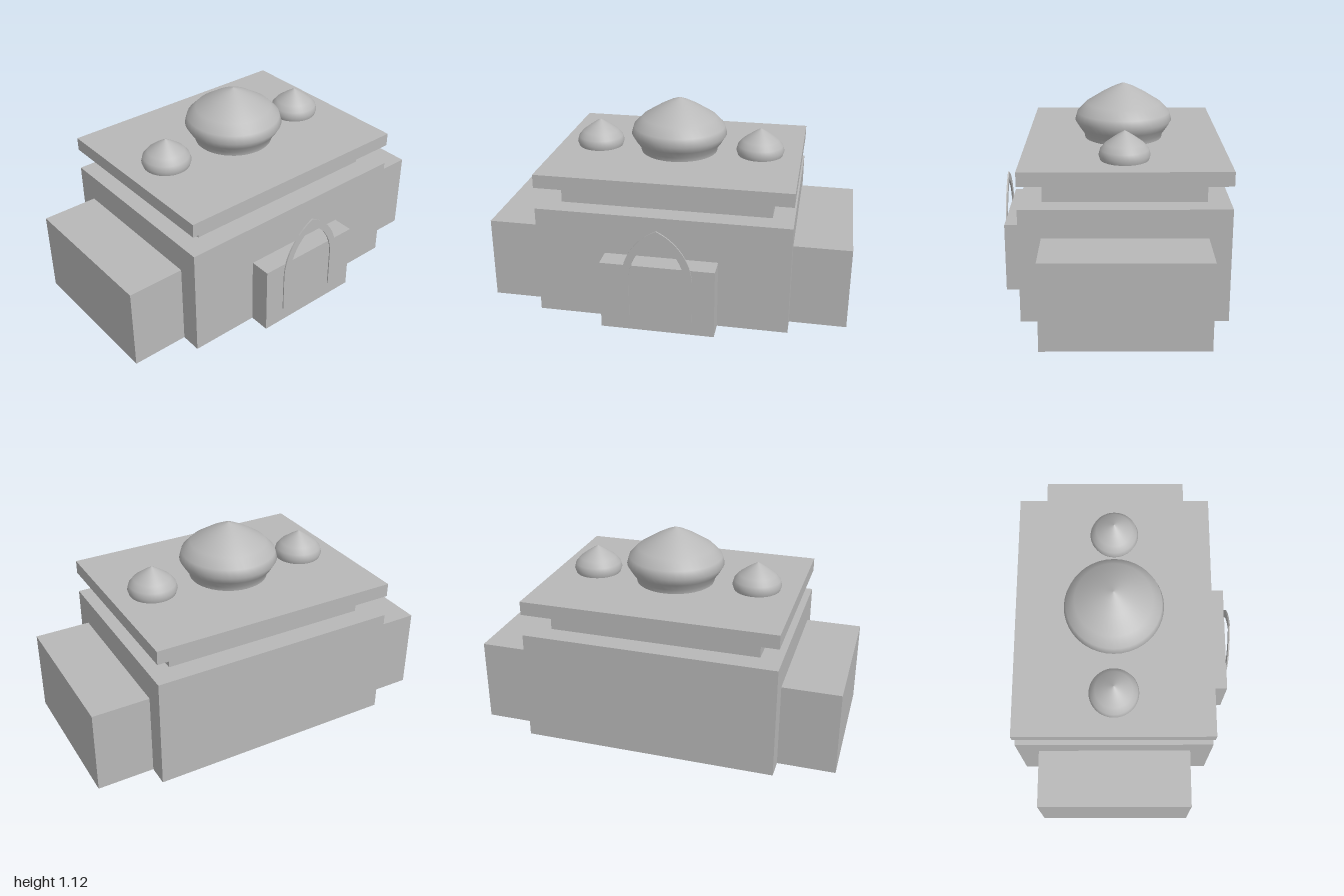
import * as THREE from 'three';

const stone = new THREE.MeshStandardMaterial({ color: 0xb8b8b8 });
stone.name = 'grey stone';

// Box given by its minimum and maximum corners
function block(name, [x0, y0, z0], [x1, y1, z1]) {
  const mesh = new THREE.Mesh(new THREE.BoxGeometry(x1 - x0, y1 - y0, z1 - z0), stone);
  mesh.position.set((x0 + x1) / 2, (y0 + y1) / 2, (z0 + z1) / 2);
  mesh.name = name;
  return mesh;
}

// Dome turned from a profile of [radius, height] pairs, bottom to top
function dome(name, profile, x) {
  const points = profile.map(([r, y]) => new THREE.Vector2(r, y));
  const mesh = new THREE.Mesh(new THREE.LatheGeometry(points, 40), stone);
  mesh.position.set(x, 0.81, -0.06);
  mesh.name = name;
  return mesh;
}

// Right-to-left points of a pointed arch with vertical legs
function archPoints(halfWidth, foot, spring, apex) {
  const h = apex - spring;
  const radius = (halfWidth ** 2 + h ** 2) / (2 * halfWidth);
  const sweep = Math.asin(h / radius);
  const right = [new THREE.Vector2(halfWidth, foot)];
  const steps = 10;
  for (let i = 0; i <= steps; i++) {
    const a = (sweep * i) / steps;
    right.push(new THREE.Vector2(halfWidth - radius + radius * Math.cos(a), spring + radius * Math.sin(a)));
  }
  right[right.length - 1].x = 0;
  const left = right.slice(0, -1).reverse().map((p) => new THREE.Vector2(-p.x, p.y));
  return [...right, ...left];
}

export function createModel() {
  const model = new THREE.Group();
  model.name = 'domedHall';

  // Hall, side wings and porch
  model.add(block('mainHall', [-0.69, 0, -0.6], [0.69, 0.615, 0.478]));
  for (const side of [-1, 1]) {
    const xs = [side * 0.69, side].sort((a, b) => a - b);
    model.add(block(side > 0 ? 'leftWing' : 'rightWing', [xs[0], 0, -0.483], [xs[1], 0.462, 0.362]));
  }
  model.add(block('porch', [-0.308, 0, 0.478], [0.308, 0.386, 0.594]));

  // Recessed upper storey and the roof slab hovering above it
  model.add(block('upperStorey', [-0.575, 0.615, -0.483], [0.575, 0.712, 0.362]));
  model.add(block('roofSlab', [-0.69, 0.735, -0.6], [0.69, 0.81, 0.478]));

  // Pointed arch frame, open at the foot
  const outline = [
    ...archPoints(0.19, 0.08, 0.3, 0.597),
    ...archPoints(0.15, 0.08, 0.3, 0.55).reverse(),
  ];
  const frame = new THREE.Mesh(
    new THREE.ExtrudeGeometry(new THREE.Shape(outline), { depth: 0.008, bevelEnabled: false }),
    stone,
  );
  frame.position.z = 0.592;
  frame.name = 'archFrame';
  model.add(frame);

  // Central onion dome and two smaller domes
  model.add(dome('centralDome', [
    [0.215, 0], [0.22, 0.025], [0.245, 0.06], [0.269, 0.1], [0.257, 0.145],
    [0.208, 0.195], [0.112, 0.255], [0.05, 0.287], [0, 0.306],
  ], 0));
  const smallProfile = [
    [0.126, 0], [0.134, 0.025], [0.126, 0.055], [0.1, 0.085], [0.055, 0.118], [0.025, 0.138], [0, 0.152],
  ];
  model.add(dome('leftDome', smallProfile, 0.46));
  model.add(dome('rightDome', smallProfile, -0.46));

  return model;
}
